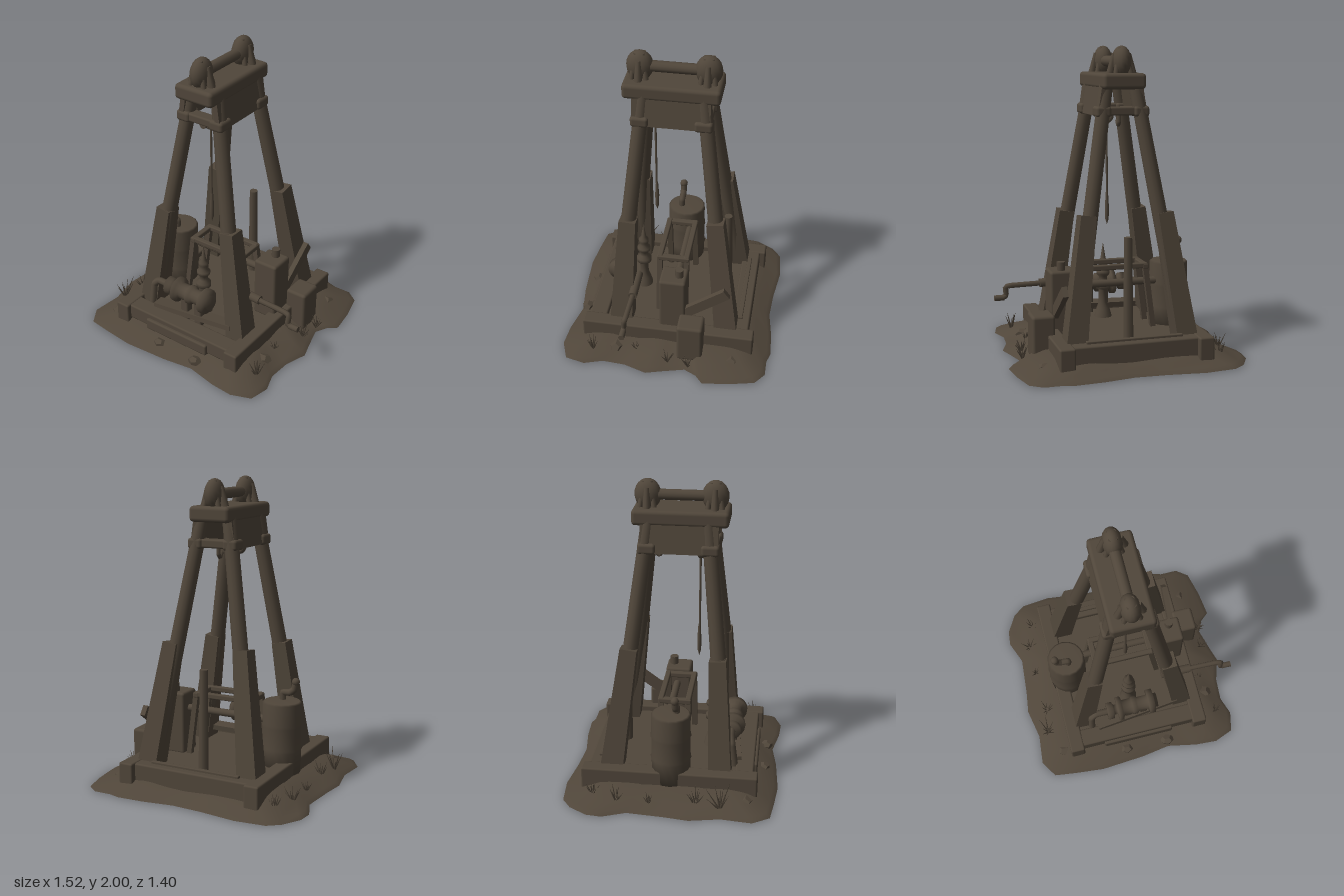
import * as THREE from 'three';
import { RoundedBoxGeometry } from 'three/addons/geometries/RoundedBoxGeometry.js';

const wood = new THREE.MeshStandardMaterial({ color: 0x50463a });
wood.name = 'weathered brown';
const V = (x, y, z) => new THREE.Vector3(x, y, z);
const UP = V(0, 1, 0);

let seed = 7;
const rnd = () => (seed = (seed * 16807) % 2147483647) / 2147483647;

export function createModel() {
  const model = new THREE.Group();

  const add = (name, geo, x = 0, y = 0, z = 0) => {
    const m = new THREE.Mesh(geo, wood);
    m.name = name;
    m.position.set(x, y, z);
    model.add(m);
    return m;
  };
  // box given by its min and max corners, with slightly worn edges
  const box = (name, x0, x1, y0, y1, z0, z1, r = 0.012) =>
    add(name, new RoundedBoxGeometry(x1 - x0, y1 - y0, z1 - z0, 2, r),
      (x0 + x1) / 2, (y0 + y1) / 2, (z0 + z1) / 2);
  // place a y-aligned geometry between two points
  const span = (name, geo, a, b) => {
    const m = add(name, geo, ...a.clone().add(b).multiplyScalar(0.5).toArray());
    m.quaternion.setFromUnitVectors(UP, b.clone().sub(a).normalize());
    return m;
  };
  const rod = (name, a, b, r0, r1 = r0, n = 12) =>
    span(name, new THREE.CylinderGeometry(r1, r0, a.distanceTo(b), n), a, b);
  const plank = (name, a, b, w, d) => span(name, new THREE.BoxGeometry(w, a.distanceTo(b), d), a, b);
  const pipe = (name, pts, r) =>
    add(name, new THREE.TubeGeometry(new THREE.CatmullRomCurve3(pts, false, 'catmullrom', 0.15), 30, r, 8));
  const lathe = (name, pts, x, y, z) =>
    add(name, new THREE.LatheGeometry(pts.map(p => new THREE.Vector2(...p)), 16), x, y, z);

  // ground mound: an uneven outline shrunk in rings, with a flat underside
  const outline = [[-0.75, -0.5], [-0.68, -0.62], [-0.6, -0.68], [-0.4, -0.7], [-0.15, -0.67], [0.05, -0.66],
    [0.25, -0.69], [0.43, -0.7], [0.5, -0.68], [0.62, -0.68], [0.7, -0.62], [0.74, -0.45], [0.76, -0.28],
    [0.7, -0.23], [0.66, -0.15], [0.7, 0], [0.73, 0.1], [0.68, 0.25], [0.67, 0.4], [0.71, 0.52], [0.68, 0.65],
    [0.55, 0.7], [0.4, 0.69], [0.2, 0.65], [0, 0.68], [-0.3, 0.7], [-0.5, 0.68], [-0.65, 0.66], [-0.72, 0.55],
    [-0.7, 0.35], [-0.74, 0.15], [-0.72, 0], [-0.7, -0.25], [-0.76, -0.4]];
  const n = outline.length, pos = [], idx = [];
  const rings = [[1, 0.005], [0.96, 0.026], [0.85, 0.05], [0.7, 0.1], [0.001, 0.14]];
  rings.forEach(([s, y], k) => outline.forEach(([x, z]) =>
    pos.push(x * s, y + (k === 2 ? (rnd() - 0.5) * 0.03 : 0), z * s)));
  for (let k = 0; k < rings.length - 1; k++) for (let i = 0; i < n; i++) {
    const j = (i + 1) % n, o = k * n, q = o + n;
    idx.push(q + i, o + j, o + i, q + i, q + j, o + j);
  }
  const c = pos.length / 3;
  pos.push(0, 0, 0);
  outline.forEach(([x, z]) => pos.push(x, 0, z));
  for (let i = 0; i < n; i++) idx.push(c, c + 1 + i, c + 1 + (i + 1) % n);
  const ground = new THREE.BufferGeometry();
  ground.setAttribute('position', new THREE.Float32BufferAttribute(pos, 3));
  ground.setIndex(idx);
  ground.computeVertexNormals();
  add('ground', ground);

  // base frame
  box('floor', -0.42, 0.42, 0.03, 0.15, -0.45, 0.45);
  for (const s of [-1, 1]) box('sideSill', s * 0.45 - 0.05, s * 0.45 + 0.05, 0.01, 0.19, -0.58, 0.57);
  box('frontSill', -0.46, 0.46, 0.08, 0.185, 0.42, 0.54);
  box('backSill', -0.5, 0.5, 0.05, 0.185, -0.54, -0.42);
  box('frontStep', -0.25, 0.25, 0.07, 0.15, 0.5, 0.56);
  box('backPlank', -0.32, 0.31, 0.17, 0.2, -0.49, -0.46, 0.005);
  plank('loosePlank', V(-0.27, 0.19, 0.41), V(0.32, 0.22, 0.35), 0.035, 0.09);

  // four leaning legs with square sleeves around their feet
  for (const s of [-1, 1]) for (const [zb, zm, zt, top] of [[0.32, 0.285, 0.2, 0.9], [-0.39, -0.285, -0.175, 0.95]]) {
    const foot = V(s * 0.355, 0.15, zb), mid = V(s * 0.235, 0.9, zm), head = V(s * 0.095, 1.76, zt);
    rod('leg', foot, mid, 0.055, 0.05);
    rod('leg', mid, head, 0.05, 0.045);
    const a = foot.clone().add(V(s * 0.008, 0, 0)), b = mid.clone().add(V(s * 0.018, top - 0.9, 0));
    const geo = new THREE.BoxGeometry(0.1, a.distanceTo(b), 0.11), p = geo.attributes.position;
    for (let i = 0; i < p.count; i++) if (p.getY(i) < 0) p.setXYZ(i, p.getX(i) * 1.35, p.getY(i), p.getZ(i) * 1.35);
    span('legSleeve', geo, a, b);
    box('legCollar', s * 0.125 - 0.05, s * 0.125 + 0.05, 1.555, 1.625, Math.sign(zb) * 0.2 - 0.04, Math.sign(zb) * 0.2 + 0.075, 0.02);
  }

  // head: cross beams, side boards and cap
  for (const z of [0.225, -0.185]) box('crossBeam', -0.15, 0.15, 1.565, 1.62, z - 0.04, z + 0.04);
  for (const s of [-1, 1]) plank('sideBoard', V(s * 0.145, 1.56, 0.022), V(s * 0.115, 1.76, 0.022), 0.035, 0.49);
  box('cap', -0.14, 0.14, 1.73, 1.83, -0.28, 0.33, 0.025);

  // axle and its two domed bearings
  rod('axle', V(0, 1.9, -0.2), V(0, 1.9, 0.24), 0.035);
  for (const z of [0.235, -0.19]) {
    add('bearingDome', new THREE.SphereGeometry(1, 16, 12), 0, 1.9, z).scale.set(0.062, 0.1, 0.085);
    for (const s of [-1, 1]) {
      rod('bearingFoot', V(s * 0.075, 1.82, z), V(s * 0.045, 1.95, z), 0.026, 0.018, 8);
      for (const t of [-0.045, 0.045])
        rod('bearingRib', V(s * 0.05, 1.82, z + t), V(s * 0.015, 1.985, z + t * 0.5), 0.018, 0.014, 8);
    }
  }

  // pulley, rope and hanging weight
  const wheel = add('pulley', new THREE.TorusGeometry(0.03, 0.02, 8, 16), 0, 1.54, 0.15);
  wheel.scale.z = 1.3;
  rod('pulleyAxle', V(0, 1.55, 0.12), V(0, 1.55, 0.23), 0.025);
  rod('rope', V(0, 1.54, 0.145), V(0, 1.02, 0.143), 0.007, 0.007, 6);
  lathe('weight', [[0, 0], [0.012, 0.04], [0.014, 0.12], [0.007, 0.23]], 0, 0.81, 0.141);
  pipe('backHook', [V(0, 1.58, -0.14), V(0, 1.52, -0.14), V(0, 1.5, -0.12), V(0, 1.53, -0.1)], 0.014);

  // back post
  rod('backPost', V(0, 0.14, -0.35), V(0, 0.81, -0.34), 0.034, 0.027, 8);

  // trestle in the middle
  for (const z of [-0.09, 0.09]) {
    box('trestleRail', -0.21, 0.21, 0.55, 0.585, z - 0.018, z + 0.018, 0.008);
    for (const s of [-1, 1]) plank('trestlePost', V(s * 0.25, 0.14, z), V(s * 0.195, 0.56, z), 0.035, 0.035);
  }
  for (const s of [-1, 1]) box('trestleEnd', s * 0.195 - 0.02, s * 0.195 + 0.02, 0.545, 0.58, -0.11, 0.11, 0.008);
  rod('linkPipe', V(-0.3, 0.45, -0.04), V(0.3, 0.45, -0.04), 0.025);

  // ringed valve stem
  lathe('valveStem', [[0.06, 0], [0.045, 0.06], [0.03, 0.1], [0.03, 0.19], [0.05, 0.2], [0.05, 0.23], [0.028, 0.25],
    [0.028, 0.28], [0.045, 0.3], [0.045, 0.32], [0.025, 0.34], [0.034, 0.37], [0.034, 0.39], [0.018, 0.41], [0, 0.52]],
  0, 0.15, 0.24);

  // flanged pump lying across the front
  const pump = lathe('pumpBody', [[0, -0.19], [0.06, -0.19], [0.06, -0.15], [0.035, -0.14], [0.035, -0.12], [0.085, -0.115],
    [0.085, -0.085], [0.055, -0.075], [0.055, -0.02], [0.065, -0.01], [0.065, 0.02], [0.05, 0.03], [0.05, 0.1],
    [0.085, 0.105], [0.085, 0.145], [0.05, 0.15], [0.05, 0.17], [0, 0.17]], 0, 0.355, 0.38);
  pump.rotation.z = -Math.PI / 2;
  pipe('pumpElbow', [V(-0.18, 0.355, 0.38), V(-0.27, 0.355, 0.38), V(-0.305, 0.32, 0.39), V(-0.31, 0.17, 0.41)], 0.024);
  for (const x of [-0.04, 0.07]) box('pumpFoot', x - 0.03, x + 0.03, 0.14, 0.33, 0.35, 0.41);

  // drum with a bent spout
  lathe('drum', [[0, 0], [0.125, 0], [0.128, 0.15], [0.134, 0.16], [0.128, 0.17], [0.128, 0.31], [0.134, 0.32],
    [0.128, 0.33], [0.128, 0.465], [0.115, 0.475], [0, 0.475]], -0.39, 0.1, 0);
  pipe('spout', [V(-0.38, 0.56, 0.035), V(-0.38, 0.62, 0.035), V(-0.43, 0.625, 0.035), V(-0.46, 0.65, 0.035), V(-0.47, 0.7, 0.035)], 0.022);
  add('spoutKnob', new THREE.SphereGeometry(0.027, 10, 8), -0.47, 0.7, 0.035);

  // engine box, crate and leaning plank
  box('engineBox', 0.28, 0.45, 0.14, 0.565, -0.12, 0.055, 0.018);
  rod('engineCap', V(0.37, 0.55, -0.07), V(0.37, 0.62, -0.07), 0.028);
  box('crate', 0.45, 0.6, 0.03, 0.315, -0.255, -0.085, 0.02);
  plank('leaningPlank', V(0.42, 0.28, -0.09), V(0.42, 0.5, -0.39), 0.035, 0.07);

  // hand crank
  rod('crankShaft', V(0.24, 0.43, 0.23), V(0.45, 0.415, 0.23), 0.03);
  pipe('crankHandle', [V(0.42, 0.415, 0.23), V(0.64, 0.41, 0.235), V(0.68, 0.4, 0.24), V(0.675, 0.34, 0.245), V(0.71, 0.325, 0.245)], 0.018);
  rod('crankGrip', V(0.69, 0.327, 0.245), V(0.755, 0.327, 0.245), 0.02);

  // grass tufts and stones
  const tufts = [[-0.63, 0.34, 0.19], [-0.6, 0.18, 0.13], [-0.62, -0.12, 0.08], [-0.62, -0.33, 0.12], [-0.57, -0.49, 0.11],
    [0.6, 0.48, 0.14], [0.63, -0.03, 0.1], [0.65, -0.17, 0.1], [0.55, 0.2, 0.08]];
  for (const [x, z, h] of tufts) for (let i = 0; i < 9; i++) {
    const t = i * 2.4, r = h * (0.15 + 0.35 * rnd());
    rod('grassBlade', V(x, 0.03, z), V(x + Math.cos(t) * r, 0.03 + h * (0.5 + 0.45 * rnd()), z + Math.sin(t) * r), 0.008, 0.0005, 3);
  }
  for (const [x, z, r] of [[0.55, 0.33, 0.05], [0.56, -0.45, 0.05], [-0.54, 0.5, 0.05], [-0.53, -0.2, 0.04], [0.2, 0.61, 0.04], [-0.1, 0.6, 0.04]])
    add('stone', new THREE.DodecahedronGeometry(r), x, 0.045, z).scale.set(1.2, 0.7, 1);

  return model;
}
